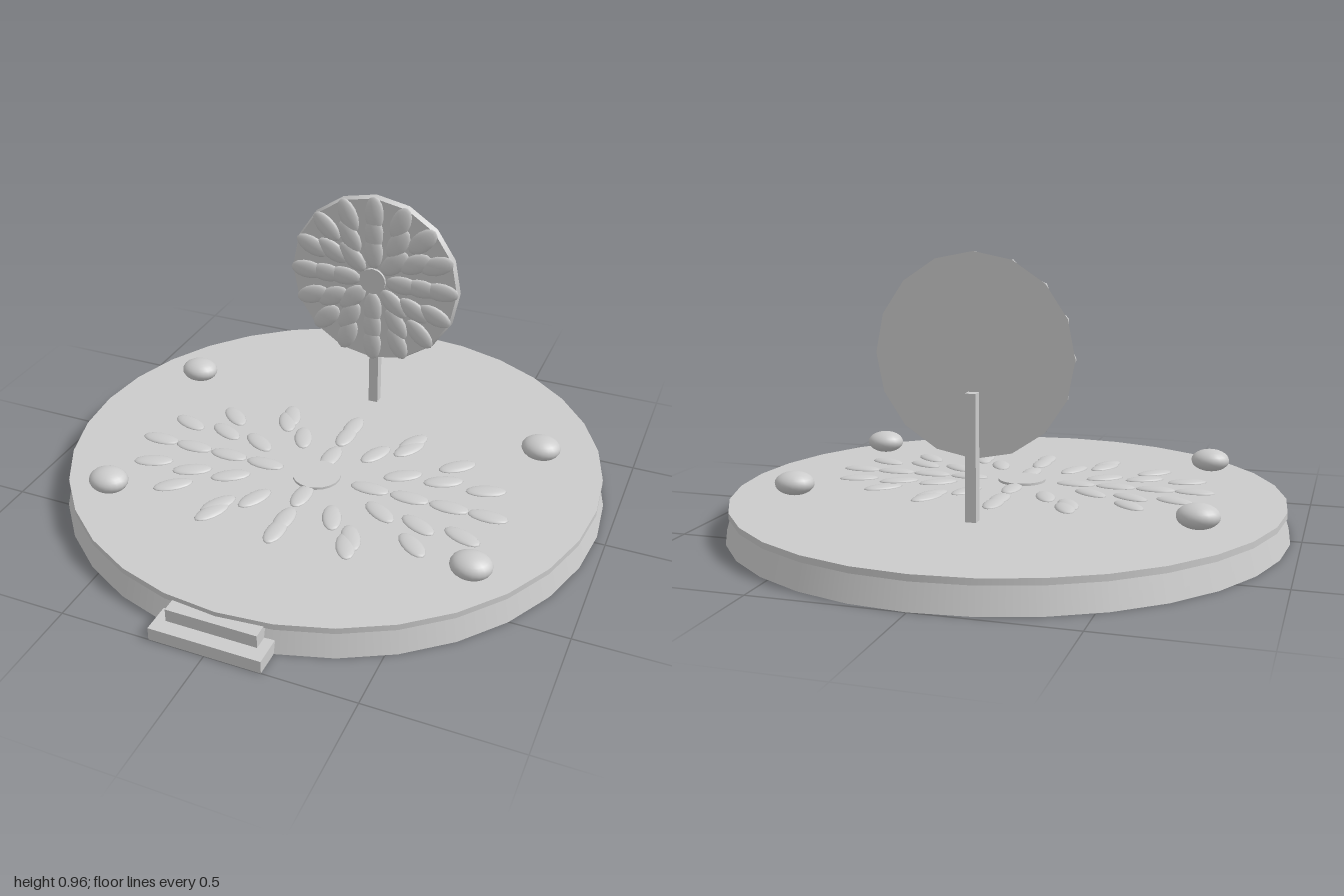
import * as THREE from 'three';

export function createModel() {
  const model = new THREE.Group();
  const mat = new THREE.MeshStandardMaterial({ color: 0xcccccc });
  const add = (parent, name, geo, x, y, z) => {
    const m = new THREE.Mesh(geo, mat);
    m.name = name;
    m.position.set(x, y, z);
    parent.add(m);
    return m;
  };
  const box = (name, w, h, d, x, y, z) => add(model, name, new THREE.BoxGeometry(w, h, d), x, y, z);

  // Round platform: tapered base with a thin rim slab on top
  const cz = -0.035;
  add(model, 'platformBase', new THREE.CylinderGeometry(0.94, 0.965, 0.086, 32), 0, 0.043, cz);
  add(model, 'platformTop', new THREE.CylinderGeometry(0.953, 0.953, 0.021, 32), 0, 0.0955, cz);

  // Two entry steps at the front
  box('lowerStep', 0.38, 0.045, 0.1, 0, 0.0225, 0.95);
  box('upperStep', 0.31, 0.045, 0.08, 0, 0.0675, 0.91);

  // Round cushions
  for (const [x, z] of [[-0.7, -0.31], [0.695, -0.28], [-0.63, 0.49], [0.66, 0.455]]) {
    const c = add(model, 'cushion', new THREE.SphereGeometry(1, 20, 14), x, 0.147, z);
    c.scale.set(0.07, 0.041, 0.061);
  }

  // Petal: flattened ellipsoid lying in the xz plane of its parent
  const petalGeo = new THREE.SphereGeometry(1, 14, 10);
  const petal = (parent, x, z, angle, length, width, height) => {
    const p = add(parent, 'petal', petalGeo, x, 0, z);
    p.scale.set(length, height, width);
    p.rotation.y = -angle;
  };

  // Floor pattern: one quadrant of petals, mirrored about both axes
  const floor = new THREE.Group();
  floor.name = 'floorPattern';
  floor.position.set(0, 0.106, 0.14);
  model.add(floor);
  add(floor, 'floorHub', new THREE.CylinderGeometry(0.085, 0.085, 0.012, 20), 0, 0.003, 0);
  const quadrant = [
    [0.2, 0], [0.345, 0], [0.487, 0], [0.624, 0], [0, 0.13], [0, 0.275], [0, 0.345],
    [0.143, 0.206], [0.28, 0.116], [0.243, 0.285], [0.423, 0.135],
    [0.243, 0.33], [0.44, 0.243], [0.577, 0.138],
  ];
  for (const [x, z] of quadrant)
    for (const sx of x ? [-1, 1] : [1])
      for (const sz of z ? [-1, 1] : [1])
        petal(floor, sx * x, sz * z, Math.atan2(sz * z * 1.6, sx * x), 0.071, 0.033, 0.012);

  // Upright post behind the disc
  box('post', 0.036, 0.42, 0.036, 0, 0.31, -0.427);

  // Standing disc, its local y axis turned to face the front
  const disc = new THREE.Group();
  disc.name = 'flowerDisc';
  disc.position.set(0, 0.633, -0.388);
  disc.rotation.x = Math.PI / 2;
  model.add(disc);
  add(disc, 'discPlate', new THREE.CylinderGeometry(0.32, 0.328, 0.02, 16), 0, -0.01, 0);
  add(disc, 'discHub', new THREE.CylinderGeometry(0.05, 0.05, 0.014, 16), 0, 0.003, 0);
  for (const [count, radius] of [[16, 0.26], [12, 0.185], [8, 0.115]])
    for (let i = 0; i < count; i++) {
      const a = (i / count) * Math.PI * 2;
      petal(disc, Math.cos(a) * radius, Math.sin(a) * radius, a, 0.067, 0.036, 0.014);
    }

  return model;
}
